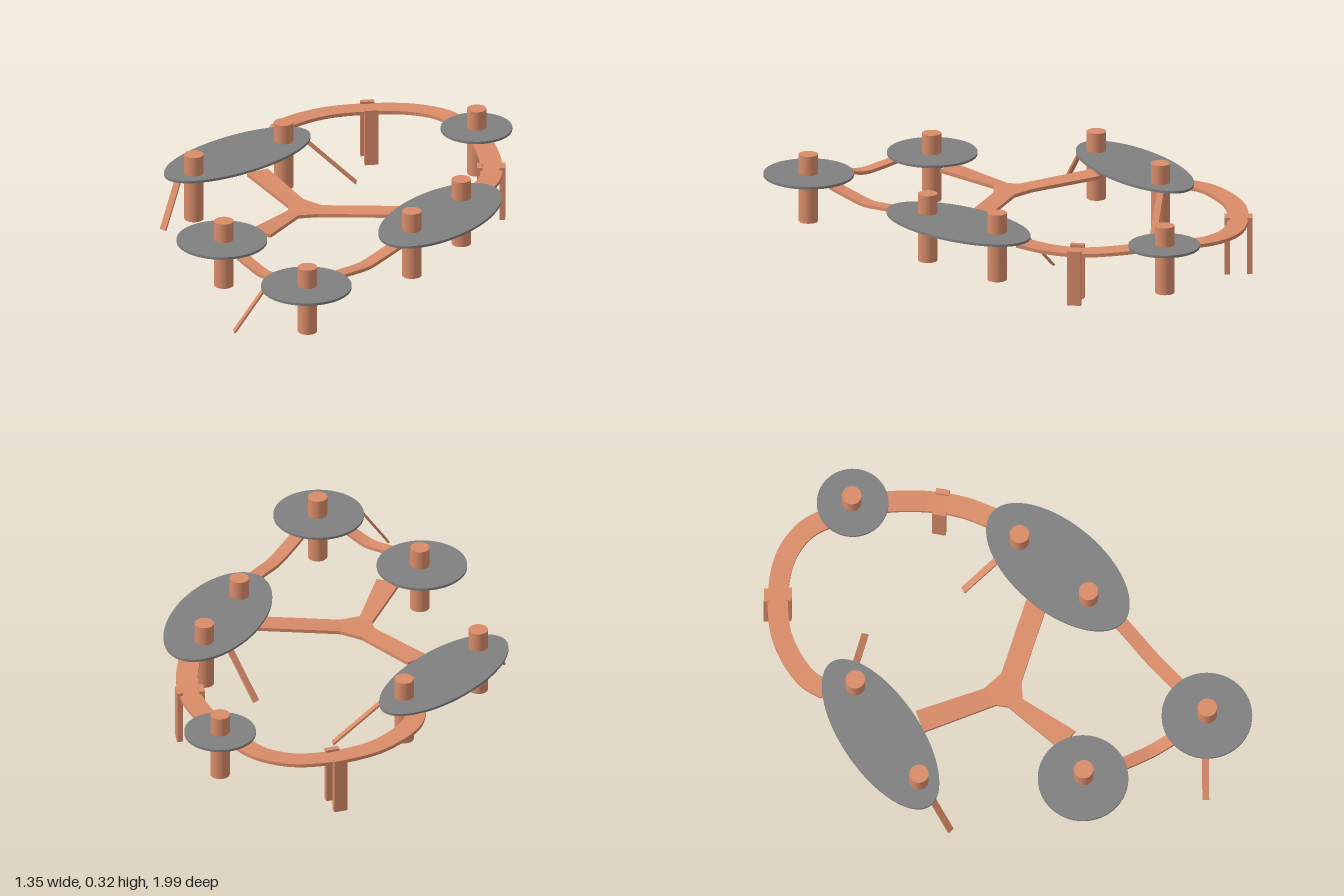
import * as THREE from 'three';

const wood = new THREE.MeshStandardMaterial({ color: 0xd98c69 });
const slate = new THREE.MeshStandardMaterial({ color: 0x808080 });
const DECK = 0.237; // mid height of the platforms

function add(parent, name, geometry, material = wood) {
  const mesh = new THREE.Mesh(geometry, material);
  mesh.name = name;
  parent.add(mesh);
  return mesh;
}

// Flat walkway of rectangular section swept along [x, y, z] points
function walkway(points, width, thick = 0.014, steps = 40) {
  const curve = new THREE.CatmullRomCurve3(points.map((p) => new THREE.Vector3(...p)));
  const pos = [], index = [];
  const corners = [[-1, 0], [1, 0], [1, -1], [-1, -1]];
  for (let i = 0; i <= steps; i++) {
    const p = curve.getPointAt(i / steps), t = curve.getTangentAt(i / steps);
    const len = Math.hypot(t.x, t.z), sx = -t.z / len, sz = t.x / len;
    for (const [s, h] of corners) {
      pos.push(p.x + sx * s * width / 2, p.y + h * thick, p.z + sz * s * width / 2);
    }
    if (i === steps) continue;
    for (let k = 0; k < 4; k++) {
      const a = i * 4 + k, b = i * 4 + (k + 1) % 4;
      index.push(a, b, a + 4, b, b + 4, a + 4);
    }
  }
  const e = steps * 4;
  index.push(0, 2, 1, 0, 3, 2, e, e + 1, e + 2, e, e + 2, e + 3);
  const g = new THREE.BufferGeometry();
  g.setAttribute('position', new THREE.Float32BufferAttribute(pos, 3));
  g.setIndex(index);
  const flat = g.toNonIndexed();
  flat.computeVertexNormals();
  return flat;
}

// Three-armed bridge: extruded outline whose hub hangs lower than its ends
function threeWayBridge() {
  const outline = [
    [-0.29, -0.25], [-0.1, -0.04], [-0.015, 0], [0.31, -0.02], [0.31, 0.065], [-0.01, 0.085],
    [-0.085, 0.115], [-0.14, 0.36], [-0.23, 0.33], [-0.135, 0.075], [-0.145, 0.03], [-0.36, -0.19],
  ];
  const shape = new THREE.Shape(outline.map(([x, z]) => new THREE.Vector2(x, -z)));
  const g = new THREE.ExtrudeGeometry(shape, { depth: 0.014, bevelEnabled: false });
  g.rotateX(-Math.PI / 2);
  const p = g.attributes.position;
  for (let i = 0; i < p.count; i++) {
    const d = Math.hypot(p.getX(i) + 0.08, p.getZ(i) - 0.04);
    p.setY(i, p.getY(i) + 0.2 + 0.02 * THREE.MathUtils.smoothstep(d, 0.13, 0.24));
  }
  g.computeVertexNormals();
  return g;
}

export function createModel() {
  const model = new THREE.Group();
  model.name = 'platformWalk';

  // Platforms: x, z, half width, half length, turn in degrees, posts
  const platforms = [
    ['backPlatform', 0.422, -0.797, 0.14, 0.14, 0, [[0.422, -0.8]]],
    ['rightPlatform', -0.313, 0.46, 0.177, 0.177, 0, [[-0.305, 0.46]]],
    ['frontPlatform', 0.106, 0.815, 0.177, 0.177, 0, [[0.11, 0.815]]],
    ['rightOvalPlatform', -0.433, -0.343, 0.154, 0.355, -36.3, [[-0.285, -0.507], [-0.559, -0.132]]],
    ['leftOvalPlatform', 0.467, 0.047, 0.178, 0.343, -20.8, [[0.512, -0.132], [0.39, 0.206]]],
  ];
  for (const [name, x, z, a, b, turn, posts] of platforms) {
    const group = new THREE.Group();
    group.name = name;
    model.add(group);
    const disc = add(group, 'disc', new THREE.CylinderGeometry(1, 1, 0.01, 64), slate);
    disc.scale.set(a, 1, b);
    disc.rotation.y = THREE.MathUtils.degToRad(turn);
    disc.position.set(x, DECK, z);
    for (const [px, pz] of posts) {
      add(group, 'post', new THREE.CylinderGeometry(0.038, 0.038, 0.275, 32)).position.set(px, 0.183, pz);
    }
  }

  // Walkways
  add(model, 'threeWayBridge', threeWayBridge());
  add(model, 'backArc', walkway([
    [-0.335, 0.234, -0.61], [-0.325, 0.232, -0.68], [-0.28, 0.229, -0.76], [-0.18, 0.225, -0.86],
    [-0.02, 0.223, -0.935], [0.13, 0.224, -0.96], [0.25, 0.228, -0.93], [0.32, 0.231, -0.875], [0.35, 0.234, -0.83],
  ], 0.08));
  add(model, 'leftArc', walkway([
    [0.465, 0.234, -0.7], [0.51, 0.226, -0.61], [0.55, 0.22, -0.5], [0.57, 0.223, -0.38], [0.565, 0.234, -0.25],
  ], 0.085));
  add(model, 'frontRightBridge', walkway([
    [-0.205, 0.234, 0.575], [-0.16, 0.222, 0.613], [-0.095, 0.211, 0.667], [-0.045, 0.222, 0.708], [0, 0.234, 0.745],
  ], 0.05));
  add(model, 'frontLeftBridge', walkway([
    [0.18, 0.234, 0.68], [0.22, 0.222, 0.6], [0.27, 0.212, 0.505], [0.315, 0.222, 0.42], [0.36, 0.234, 0.33],
  ], 0.055));

  // Upright boards on either side of the arcs: x, z, turn
  const boards = [[-0.055, -0.97, 0.36], [-0.02, -0.89, 0.36], [0.596, -0.488, 1.77], [0.51, -0.468, 1.77]];
  boards.forEach(([x, z, turn], i) => {
    const bottom = i < 2 ? 0 : 0.01;
    const board = add(model, 'uprightBoard', new THREE.BoxGeometry(0.054, 0.232 - bottom, 0.022));
    board.position.set(x, (0.232 + bottom) / 2, z);
    board.rotation.y = turn;
  });

  // Sloping planks from the platforms down: top x, z to foot x, z
  const ramps = [
    [-0.2, -0.54, -0.01, -0.575], [-0.607, -0.06, -0.645, 0.035],
    [0.41, -0.185, 0.303, -0.285], [-0.05, 0.87, -0.16, 0.915],
  ];
  for (const [x0, z0, x1, z1] of ramps) {
    const top = new THREE.Vector3(x0, 0.234, z0), foot = new THREE.Vector3(x1, 0.06, z1);
    const ramp = add(model, 'slopingPlank', new THREE.BoxGeometry(0.027, 0.008, top.distanceTo(foot)));
    ramp.position.copy(top).lerp(foot, 0.5);
    ramp.lookAt(foot);
  }
  return model;
}
